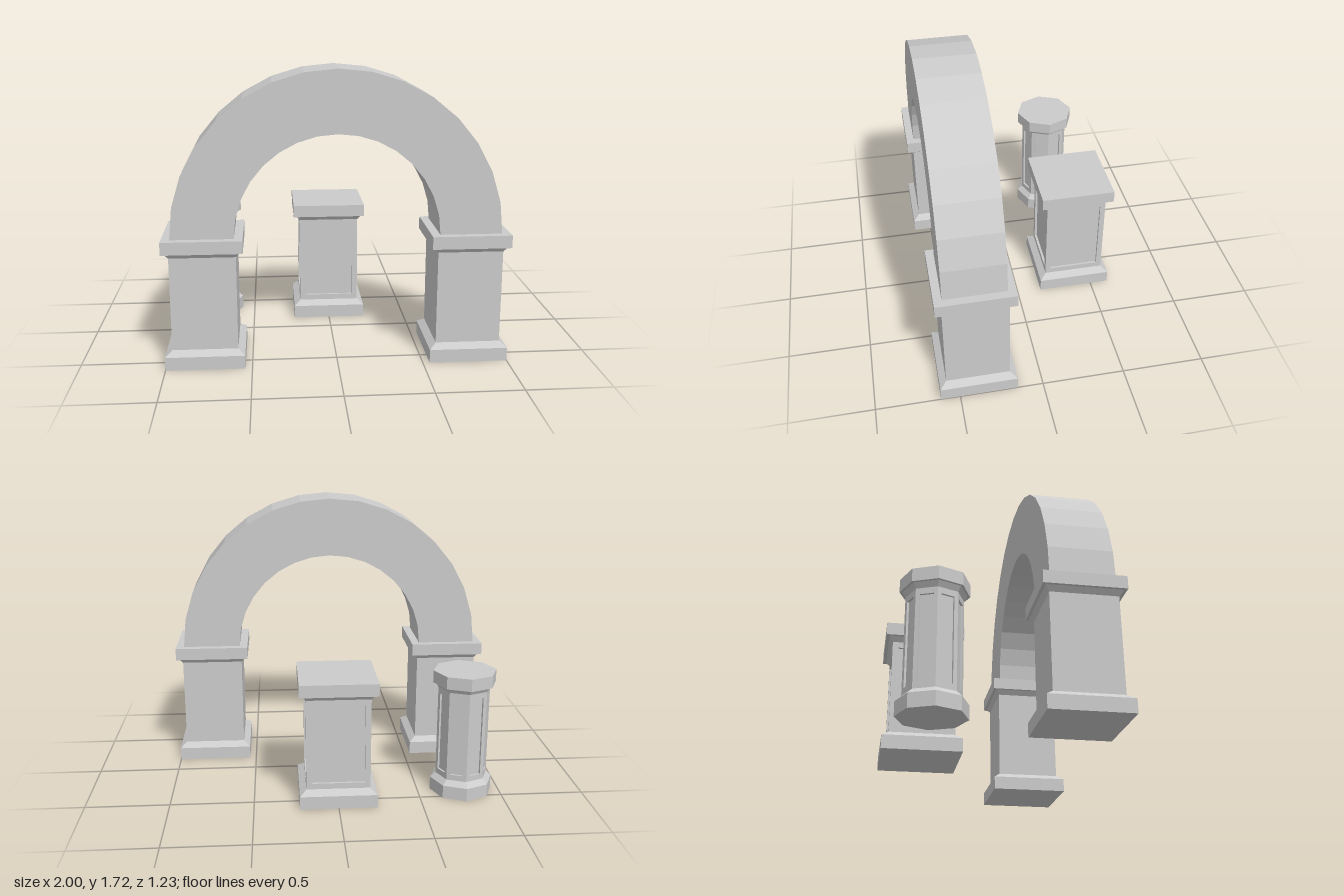
import * as THREE from 'three';

const stone = new THREE.MeshStandardMaterial({ color: 0xcccccc, flatShading: true });

const HEIGHT = 0.77;
// Mouldings as [distance from axis, height]
const BASE = [[0, 0], [0.23, 0], [0.23, 0.08], [0.19, 0.11]];
const CAP = [[0.19, 0.665], [0.212, 0.695], [0.23, 0.695], [0.23, HEIGHT], [0, HEIGHT]];

function mesh(name, geometry) {
  const m = new THREE.Mesh(geometry, stone);
  m.name = name;
  return m;
}

// Revolve a profile into a prism with the given number of sides
function prism(name, profile, sides, scale, turn) {
  const points = profile.map(([r, y]) => new THREE.Vector2(r * scale, y));
  const geometry = new THREE.LatheGeometry(points, sides, turn).toNonIndexed();
  return mesh(name, geometry);
}

// One shaft face with a sunken panel, lofted through rectangular loops
function panelFace(halfWidth, margin, depth) {
  const loops = [
    [halfWidth, 0.11, 0.665, 0],
    [halfWidth - margin, 0.145, 0.63, 0],
    [halfWidth - margin, 0.145, 0.63, -depth],
  ];
  const position = [];
  const index = [];
  for (const [w, y0, y1, z] of loops) {
    position.push(-w, y0, z, w, y0, z, w, y1, z, -w, y1, z);
  }
  for (let l = 0; l < 2; l++) {
    for (let i = 0; i < 4; i++) {
      const a = l * 4 + i;
      const b = l * 4 + (i + 1) % 4;
      index.push(a, b, b + 4, a, b + 4, a + 4);
    }
  }
  index.push(8, 9, 10, 8, 10, 11);
  const geometry = new THREE.BufferGeometry();
  geometry.setAttribute('position', new THREE.Float32BufferAttribute(position, 3));
  geometry.setIndex(index);
  const flat = geometry.toNonIndexed();
  flat.computeVertexNormals();
  return flat;
}

// Post with base, cap and a sunken panel on every side
function panelledPost(name, sides, scale, turn, margin, depth) {
  const post = new THREE.Group();
  post.name = name;
  post.add(prism('base', BASE, sides, scale, turn), prism('cap', CAP, sides, scale, turn));
  const radius = 0.19 * scale;
  const face = panelFace(radius * Math.sin(Math.PI / sides), margin, depth);
  for (let i = 0; i < sides; i++) {
    const angle = turn + (i + 0.5) * 2 * Math.PI / sides;
    const apothem = radius * Math.cos(Math.PI / sides);
    const side = mesh('shaftPanel', face);
    side.rotation.y = angle;
    side.position.set(apothem * Math.sin(angle), 0, apothem * Math.cos(angle));
    post.add(side);
  }
  return post;
}

// Half ring of straight segments
function archGeometry(outer, inner, depth, segments) {
  const points = [];
  for (let i = 0; i <= segments; i++) {
    const a = Math.PI * i / segments;
    points.push(new THREE.Vector2(outer * Math.cos(a), outer * Math.sin(a)));
  }
  for (let i = segments; i >= 0; i--) {
    const a = Math.PI * i / segments;
    points.push(new THREE.Vector2(inner * Math.cos(a), inner * Math.sin(a)));
  }
  const geometry = new THREE.ExtrudeGeometry(new THREE.Shape(points), { depth, bevelEnabled: false });
  return geometry.translate(0, 0, -depth / 2);
}

export function createModel() {
  const model = new THREE.Group();
  model.name = 'archAndPedestals';
  const z = 0.385;

  // Archway: two plain piers carrying a round arch
  for (const [name, x] of [['leftPier', 0.77], ['rightPier', -0.77]]) {
    const pier = prism(name, [...BASE, ...CAP], 4, Math.SQRT2, Math.PI / 4);
    pier.position.set(x, 0, z);
    model.add(pier);
  }
  const arch = mesh('arch', archGeometry(0.95, 0.59, 0.365, 16));
  arch.position.set(0, HEIGHT, z);
  model.add(arch);

  // Square panelled pedestal
  const pedestal = panelledPost('squarePedestal', 4, Math.SQRT2, Math.PI / 4, 0.033, 0.015);
  pedestal.position.set(0, 0, -z);
  model.add(pedestal);

  // Octagonal panelled pedestal
  const octagon = panelledPost('octagonalPedestal', 8, 0.19 / 0.23, 0, 0.022, 0.012);
  octagon.position.set(-0.77, 0, -z);
  model.add(octagon);

  return model;
}
